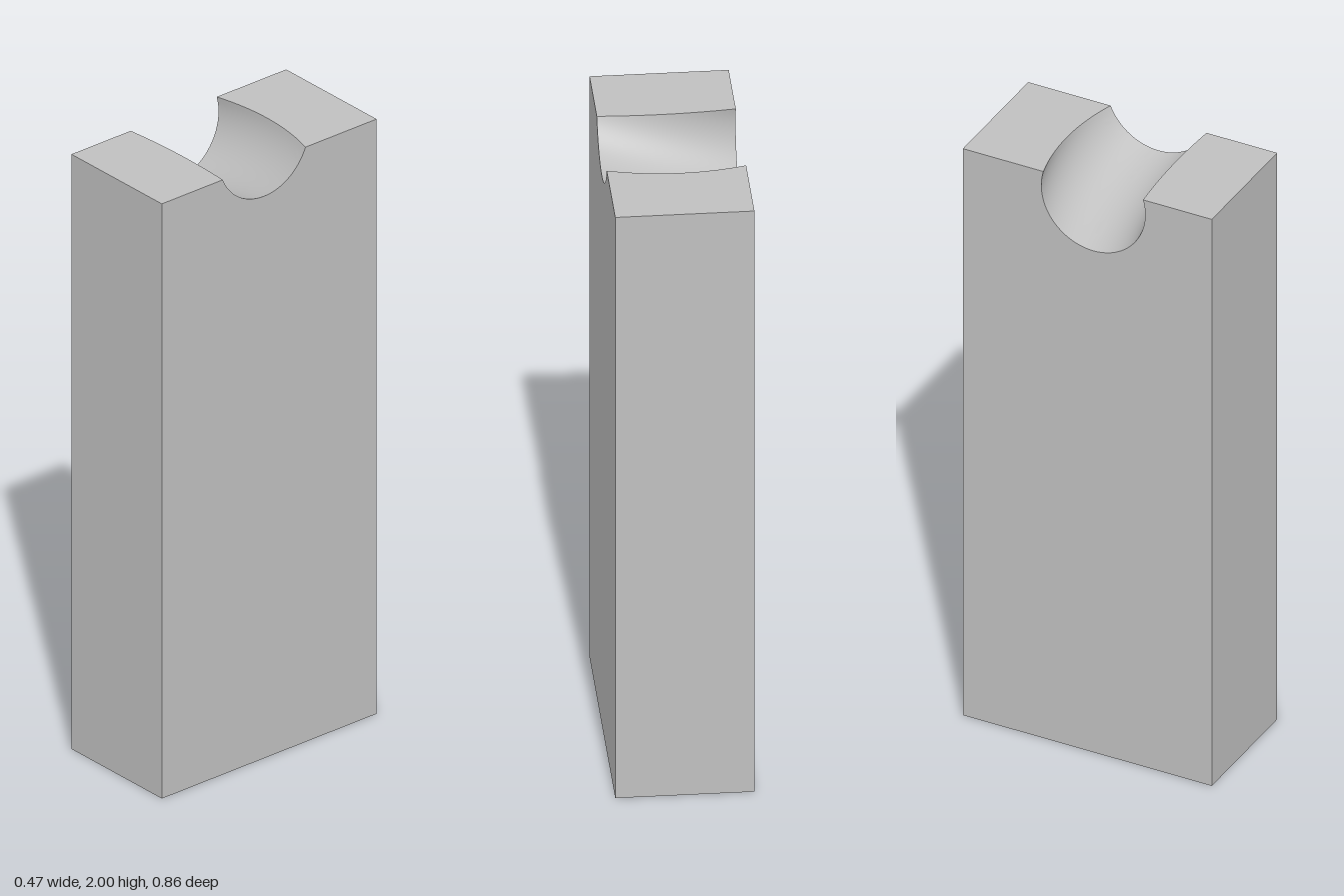
import * as THREE from 'three';
import { toCreasedNormals } from 'three/addons/utils/BufferGeometryUtils.js';

const HALF_WIDTH = 0.208, HALF_DEPTH = 0.419, HEIGHT = 2;
const SECTIONS = 24, ARC_STEPS = 40;

// Outline of the block at width position u, with the round groove cut in its top.
// The groove curves sideways and slopes down towards -x.
function sectionOutline(u) {
  const centreZ = 0.46 * u * u, centreY = 2.009 + 0.288 * u;
  const radiusZ = 0.175, radiusY = 0.179;
  const limit = Math.acos((centreY - HEIGHT) / radiusY);
  const points = [new THREE.Vector3(u, 0, -HALF_DEPTH), new THREE.Vector3(u, HEIGHT, -HALF_DEPTH)];
  for (let i = 0; i <= ARC_STEPS; i++) {
    const a = limit * (2 * i / ARC_STEPS - 1);
    points.push(new THREE.Vector3(u, centreY - radiusY * Math.cos(a), centreZ + radiusZ * Math.sin(a)));
  }
  points.push(new THREE.Vector3(u, HEIGHT, HALF_DEPTH), new THREE.Vector3(u, 0, HALF_DEPTH));
  return points;
}

function groovedBlockGeometry() {
  const sections = [];
  for (let s = 0; s <= SECTIONS; s++) {
    sections.push(sectionOutline(HALF_WIDTH * (2 * s / SECTIONS - 1)));
  }
  const corners = [];

  // Skin between neighbouring sections
  for (let s = 0; s < SECTIONS; s++) {
    const near = sections[s], far = sections[s + 1];
    for (let i = 0; i < near.length; i++) {
      const j = (i + 1) % near.length;
      corners.push(near[i], near[j], far[j], near[i], far[j], far[i]);
    }
  }

  // Flat end faces
  const addCap = (outline, flip) => {
    const contour = outline.map((p) => new THREE.Vector2(-p.z, p.y));
    for (const [a, b, c] of THREE.ShapeUtils.triangulateShape(contour, [])) {
      corners.push(outline[a], outline[flip ? c : b], outline[flip ? b : c]);
    }
  };
  addCap(sections[SECTIONS], false);
  addCap(sections[0], true);

  const geometry = new THREE.BufferGeometry().setFromPoints(corners);
  return toCreasedNormals(geometry, Math.PI / 6);
}

export function createModel() {
  const grey = new THREE.MeshStandardMaterial({ color: 0xc0c0c0 });
  grey.name = 'plain grey';

  const block = new THREE.Mesh(groovedBlockGeometry(), grey);
  block.name = 'groovedBlock';
  block.rotation.y = 0.0656; // the block stands slightly turned

  const model = new THREE.Group();
  model.name = 'groovedSupport';
  model.add(block);
  return model;
}
